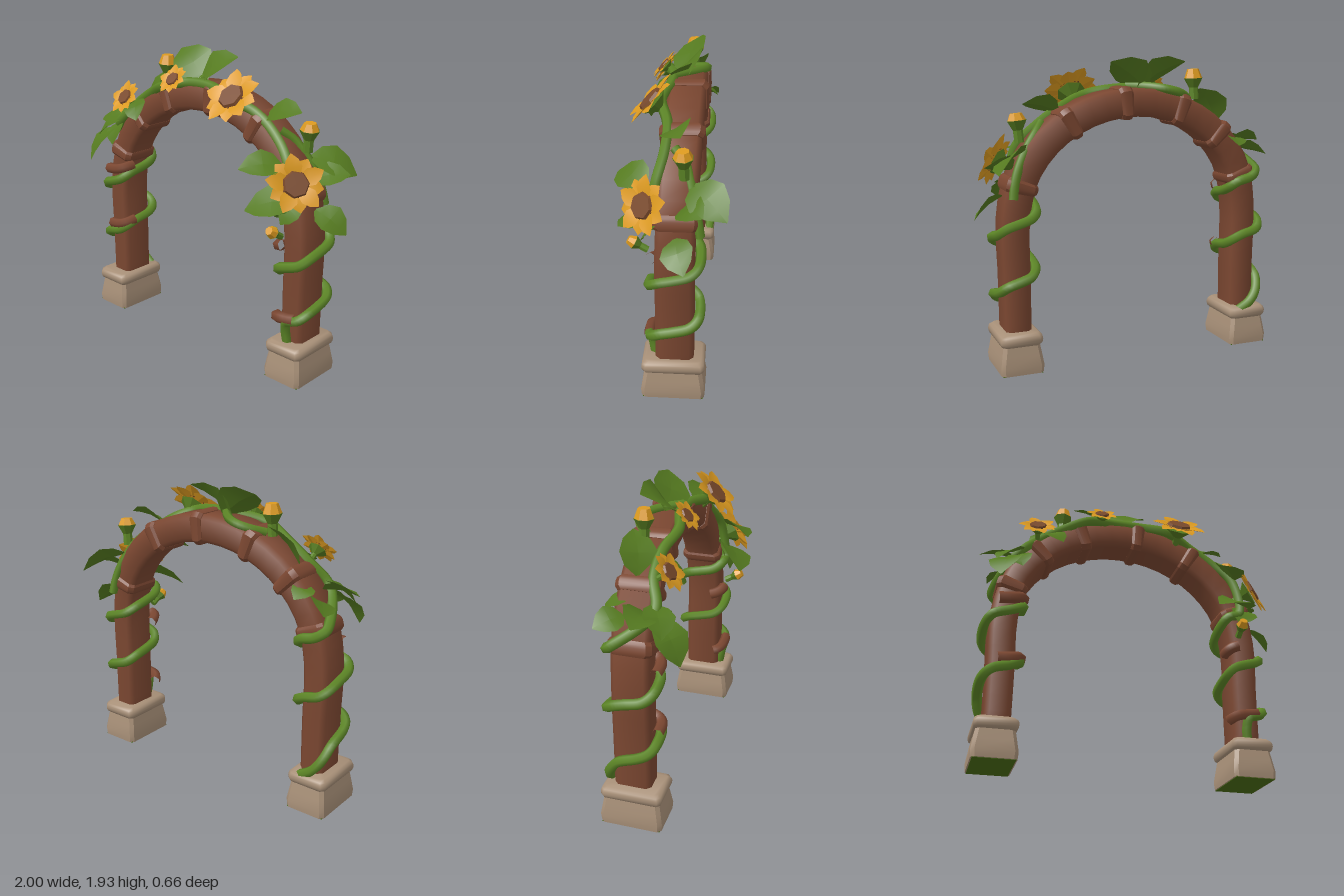
import * as THREE from 'three';
import { toCreasedNormals } from 'three/addons/utils/BufferGeometryUtils.js';

const V = (x, y, z) => new THREE.Vector3(x, y, z);
const mat = (name, color) => Object.assign(new THREE.MeshStandardMaterial({ color }), { name });
const range = (n, f) => Array.from({ length: n + 1 }, (_, i) => f(i / n));
const zAxis = V(0, 0, 1), xAxis = V(1, 0, 0);
const postX = [-0.82, 0.75];

// Closed skin over a row of equal-length cross-sections, with both ends capped
function loft(sections, crease = 0.5) {
  const p = [];
  const tri = (...v) => v.forEach(q => p.push(q.x, q.y, q.z));
  for (let s = 0; s + 1 < sections.length; s++) {
    const a = sections[s], b = sections[s + 1];
    a.forEach((_, i) => {
      const j = (i + 1) % a.length;
      tri(a[i], a[j], b[j]);
      tri(a[i], b[j], b[i]);
    });
  }
  const first = sections[0], last = sections[sections.length - 1];
  for (let i = 1; i + 1 < first.length; i++) {
    tri(first[0], first[i + 1], first[i]);
    tri(last[0], last[i], last[i + 1]);
  }
  const g = new THREE.BufferGeometry();
  g.setAttribute('position', new THREE.Float32BufferAttribute(p, 3));
  return toCreasedNormals(g, crease);
}

// Rectangle with cut corners, spanned by u and v
function chamfered(center, u, v, hu, hv, c) {
  const pts = [];
  for (const [a, b] of [[1, 1], [-1, 1], [-1, -1], [1, -1]]) {
    const pair = [[a * hu, b * (hv - c)], [a * (hu - c), b * hv]];
    pts.push(...(a * b > 0 ? pair : pair.reverse()));
  }
  return pts.map(([a, b]) => center.clone().addScaledVector(u, a).addScaledVector(v, b));
}

// Folded, curled leaf from base to tip
function leafGeometry(base, tip, up, half, curl) {
  const along = tip.clone().sub(base), len = along.length();
  const t = along.clone().normalize();
  const s = t.clone().cross(up).normalize(), n = s.clone().cross(t);
  return loft([[0, 0.12], [0.18, 0.75], [0.45, 1], [0.75, 0.7], [1, 0.04]].map(([k, w]) => {
    const c = base.clone().addScaledVector(along, k).addScaledVector(n, curl * len * Math.sin(k * Math.PI));
    const at = (side, lift) => c.clone().addScaledVector(s, side * half * w).addScaledVector(n, lift * half * w);
    return [at(0, 0), at(1, 0.12), at(0, -0.12), at(-1, 0.12)];
  }), 0.35);
}

// Point on a rounded-square coil round a post
function coil(cx, a, y) {
  const r = v => Math.sign(v) * Math.abs(v) ** 0.6;
  return V(cx + 0.12 * r(Math.sin(a)), y, -0.035 + 0.15 * r(Math.cos(a)));
}

// Centre line of the arch: two posts joined by half an ellipse
const path = new THREE.CatmullRomCurve3([
  V(postX[0], 0.2, -0.035), V(postX[0], 0.58, -0.035),
  ...range(8, k => V(-0.035 - 0.785 * Math.cos(k * Math.PI), 0.95 + 0.7 * Math.sin(k * Math.PI),
    -0.035 - 0.025 * Math.sin(k * Math.PI))),
  V(postX[1], 0.58, -0.035), V(postX[1], 0.2, -0.035)]);
const outward = k => zAxis.clone().cross(path.getTangentAt(k)).normalize();
const overArch = (k, out, z) => path.getPointAt(k).addScaledVector(outward(k), out).setZ(z);

export function createModel() {
  const wood = mat('wood', 0x7b4731), stone = mat('stone', 0xa89078), moss = mat('moss', 0x4a6b14);
  const vineGreen = mat('vine green', 0x5c8526), leafGreen = mat('leaf green', 0x557a20);
  const yellow = mat('petal yellow', 0xdc9a20), seed = mat('seed brown', 0x7a4a2c);

  const model = new THREE.Group();
  model.name = 'flowerArch';
  const add = (name, geometry, material, parent = model) => {
    const m = new THREE.Mesh(geometry, material);
    m.name = name;
    parent.add(m);
    return m;
  };
  const tube = (name, pts, r, material, seg = 12) =>
    add(name, new THREE.TubeGeometry(new THREE.CatmullRomCurve3(pts), seg, r, 6), material);
  // Group placed at c with its own axis turned to face n
  const facing = (name, c, axis, n) => {
    const g = new THREE.Group();
    g.name = name;
    g.position.set(...c);
    g.quaternion.setFromUnitVectors(axis, V(...n).normalize());
    model.add(g);
    return g;
  };

  // Wooden arch beam
  const beamSection = (k, scale) => chamfered(path.getPointAt(k), outward(k), zAxis,
    (0.08 + 0.009 * Math.sin(k * Math.PI)) * scale, 0.115 * scale, 0.028);
  add('archBeam', loft(range(36, k => beamSection(k, 1)), 0.85), wood);

  // Wooden bands round the arch
  for (const k of [0.25, 0.335, 0.42, 0.52, 0.62, 0.75]) {
    add('archBand', loft(range(5, s => beamSection(k + 0.021 * (s - 0.5), 1.02 + 0.14 * Math.sin(s * 3.14) ** 0.3)), 0.5), wood);
  }

  // Short wooden straps on the posts
  [[0, 0.63, -0.1, 1.3], [0, 1.035, -0.2, 1.3], [1, 0.85, -1.3, -0.2], [1, 0.39, -1.1, 0.3]].forEach(([post, y, a0, a1]) =>
    tube('postStrap', range(5, k => coil(postX[post], a0 + (a1 - a0) * k, y + 0.04 * k)), 0.036, wood));

  // Stone feet: flared block, rounded cap and mossy underside
  for (const x of [-0.832, 0.75]) {
    const section = ([y, h]) => chamfered(V(x, y, -0.028), zAxis, xAxis, h + 0.058, h, 0.022);
    add('stoneFoot', loft([[0.003, 0.133], [0.05, 0.137], [0.12, 0.126], [0.18, 0.116]].map(section), 0.4), stone);
    add('stoneCap', loft(range(6, k => section([0.172 + 0.086 * k, 0.109 + 0.024 * Math.sqrt(Math.sin(k * 3.14))])), 0.9), stone);
    add('footUnderside', new THREE.BoxGeometry(0.25, 0.006, 0.365), moss).position.set(x, 0.003, -0.028);
  }

  // Vine: up one post, over the arch, down the other
  tube('vine', [
    ...range(34, k => {
      const a = -1.1 + 4.4 * k;
      return coil(postX[0] + Math.max(0, a - 2.5) * 0.04, a * Math.PI, 0.58 + 0.185 * a - 0.25 * Math.max(0, -0.5 - a));
    }),
    ...range(9, k => overArch(0.3 + 0.4 * k, 0.085, 0.05 + 0.03 * Math.cos(k * 19))),
    ...range(32, k => {
      const a = 4 * (1 - k);
      return coil(postX[1] - Math.max(0, a - 3) * 0.03, a * Math.PI, 0.4 + 0.18 * a);
    }),
    V(0.735, 0.34, 0.1), V(0.74, 0.25, 0.085),
  ], 0.032, vineGreen, 320);
  // Side runners on the back of the arch
  tube('backVine', range(6, k => overArch(0.65 + 0.12 * k, 0.09 - 0.04 * k, -0.02 - 0.16 * Math.sqrt(k))), 0.028, vineGreen, 24);
  tube('crossingVine', range(6, k => overArch(0.5 - 0.09 * k, 0.1, 0.03 - 0.2 * Math.sin(k * 2.6))), 0.028, vineGreen, 24);

  // Leaves: place along the arch, then the tip
  [
    [0.49, -0.37, 1.9, -0.13], [0.475, 0.13, 1.9, -0.12], [0.345, -0.47, 1.73, -0.14], [0.3, -1, 1.37, 0.02],
    [0.29, -0.88, 1.12, 0.26], [0.3, -0.74, 1.24, 0.18], [0.31, -0.9, 1.28, 0.16], [0.29, -0.92, 1.3, -0.23],
    [0.31, -0.72, 1.36, -0.23], [0.36, -0.49, 1.45, 0.18], [0.62, 0.68, 1.65, -0.06], [0.7, 0.52, 1.36, 0.31],
    [0.75, 0.53, 1.1, 0.26], [0.77, 1, 0.97, -0.1], [0.7, 0.9, 1.26, -0.33], [0.73, 0.94, 1.3, -0.2],
    [0.75, 0.71, 1.03, 0.15],
  ].forEach(([k, ...t]) => {
    const tip = V(...t), base = overArch(k, 0.085, 0.4 * tip.z);
    const up = V(Math.sign(tip.x) * 0.25, 0.85, 0.4);
    add('leaf', leafGeometry(base, tip, up, 0.03 + 0.31 * base.distanceTo(tip), 0.12), leafGreen);
  });

  // Open flowers: centre, facing direction, radius
  [
    [[-0.65, 1.57, 0.125], [-0.1, 0.6, 0.8], 0.125],
    [[-0.22, 1.745, 0.1], [-0.05, 0.66, 0.75], 0.108],
    [[0.31, 1.715, 0.13], [0, 0.68, 0.73], 0.188],
    [[0.8, 1.29, 0.135], [0.7, 0.38, 0.6], 0.178],
  ].forEach(([c, n, r]) => {
    const flower = facing('flower', c, zAxis, n);
    for (let i = 0; i < 10; i++) {
      const a = i / 10 * Math.PI * 2, d = V(Math.cos(a), Math.sin(a), 0);
      const tip = d.clone().multiplyScalar(r * (i % 2 ? 1 : 0.92)).setZ(i % 2 ? 0.12 * r : 0.02 * r);
      add('petal', leafGeometry(d.multiplyScalar(r * 0.2), tip, zAxis, r * 0.3, 0.05), yellow, flower);
    }
    const round = (name, top, bottom, h, z, m) => {
      const part = add(name, toCreasedNormals(new THREE.CylinderGeometry(top * r, bottom * r, h * r, 7), 0.3), m, flower);
      part.rotation.x = Math.PI / 2;
      part.position.z = z * r;
    };
    round('seedDisc', 0.4, 0.47, 0.12, 0.1, seed);
    round('calyx', 0.5, 0.16, 0.3, -0.2, leafGreen);
    round('flowerStem', 0.14, 0.14, 0.6, -0.6, vineGreen);
  });

  // Closed buds: centre, facing direction, radius, height of the yellow part
  [
    [[-0.455, 1.785, -0.08], [0.05, 1, 0], 0.062, 1],
    [[0.725, 1.545, -0.08], [0.1, 1, 0.05], 0.062, 0.75],
    [[0.7, 0.99, 0.2], [0, 0.5, 0.85], 0.042, 1],
  ].forEach(([c, n, r, h]) => {
    const bud = facing('bud', c, V(0, 1, 0), n);
    const round = (name, top, bottom, low, high, m) => {
      const g = new THREE.CylinderGeometry(top * r, bottom * r, (high - low) * r, 7);
      add(name, toCreasedNormals(g, 0.3), m, bud).position.y = (low + high) / 2 * r;
    };
    round('budPetals', 0.6, 0.97, 0.1, 0.1 + h, yellow);
    round('budCup', 1, 0.5, -0.8, 0.15, leafGreen);
    round('budStem', 0.5, 0.5, -2, -0.75, vineGreen);
  });

  return model;
}
